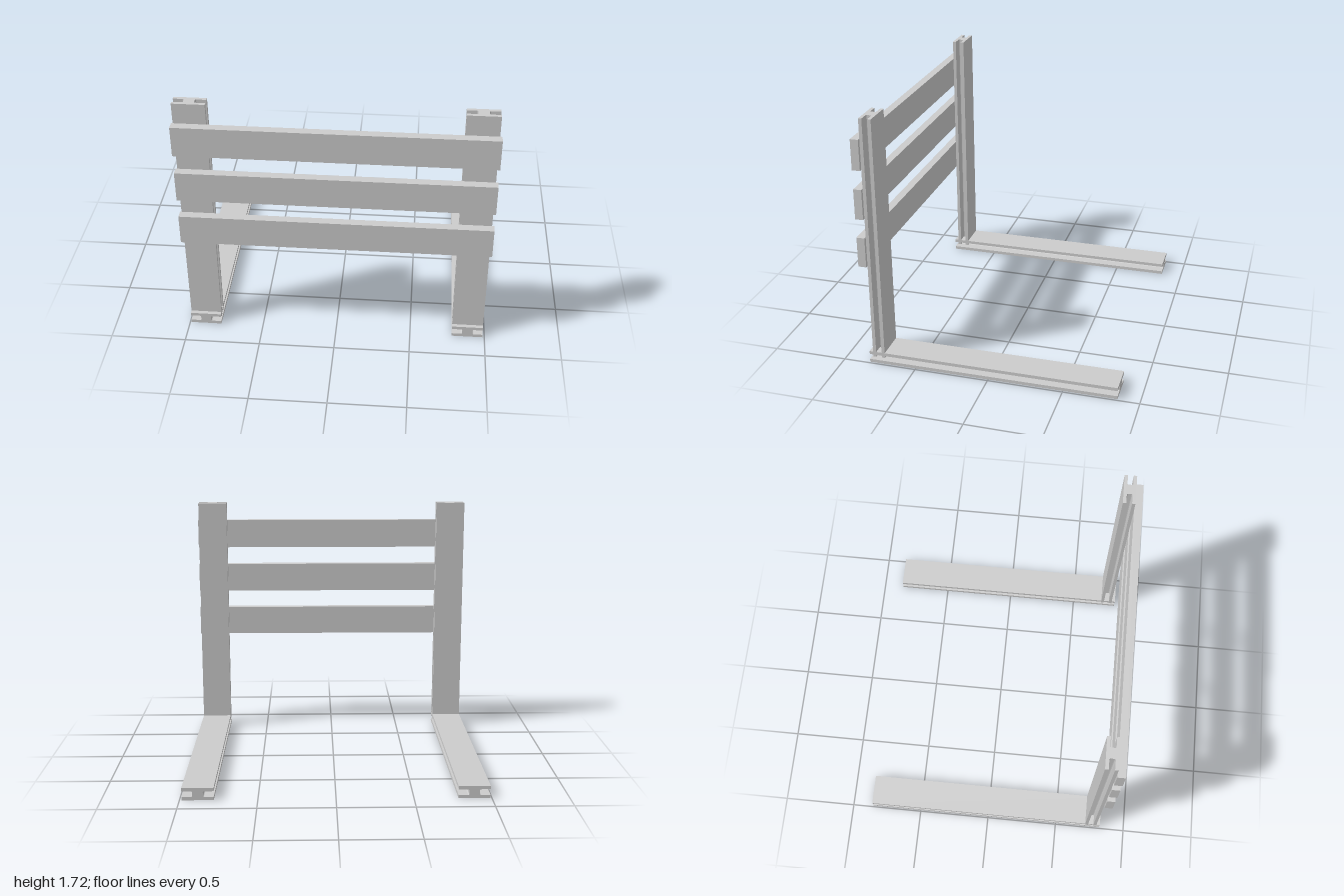
import * as THREE from 'three';

const W = 0.103, H = 0.041; // half width and half thickness of the beam
const SLOT = 0.019, WEB = 0.034, R = 0.009; // half slot height, half web, slot corner radius

// I-shaped beam section with rounded inner slot corners
function beamShape() {
  const s = new THREE.Shape();
  s.moveTo(-W, -H);
  s.lineTo(W, -H);
  s.lineTo(W, -SLOT);
  s.lineTo(WEB + R, -SLOT);
  s.quadraticCurveTo(WEB, -SLOT, WEB, -SLOT + R);
  s.lineTo(WEB, SLOT - R);
  s.quadraticCurveTo(WEB, SLOT, WEB + R, SLOT);
  s.lineTo(W, SLOT);
  s.lineTo(W, H);
  s.lineTo(-W, H);
  s.lineTo(-W, SLOT);
  s.lineTo(-WEB - R, SLOT);
  s.quadraticCurveTo(-WEB, SLOT, -WEB, SLOT - R);
  s.lineTo(-WEB, -SLOT + R);
  s.quadraticCurveTo(-WEB, -SLOT, -WEB - R, -SLOT);
  s.lineTo(-W, -SLOT);
  s.closePath();
  return s;
}

const beam = (length) => new THREE.ExtrudeGeometry(beamShape(), {
  depth: length, bevelEnabled: false, curveSegments: 4,
});

export function createModel() {
  const group = new THREE.Group();
  const material = new THREE.MeshStandardMaterial({ color: 0xcccccc, flatShading: true });
  const add = (name, geometry, x, y, z) => {
    const mesh = new THREE.Mesh(geometry, material);
    mesh.name = name;
    mesh.position.set(x, y, z);
    group.add(mesh);
  };

  // Floor beams and upright posts, the posts sunk slightly into the beams
  const foot = beam(1.677);
  const post = beam(1.675).rotateX(-Math.PI / 2);
  for (const [side, x] of [['right', -0.888], ['left', 0.884]]) {
    add(side + 'FloorBeam', foot, x, H, -0.855);
    add(side + 'Post', post, x, 0.046, 0.756);
  }

  // Three horizontal boards across the front of the posts
  const board = new THREE.BoxGeometry(2, 0.205, 0.054);
  ['lower', 'middle', 'upper'].forEach((name, i) => {
    add(name + 'Board', board, 0, 0.817 + i * 0.333, 0.828);
  });

  return group;
}
